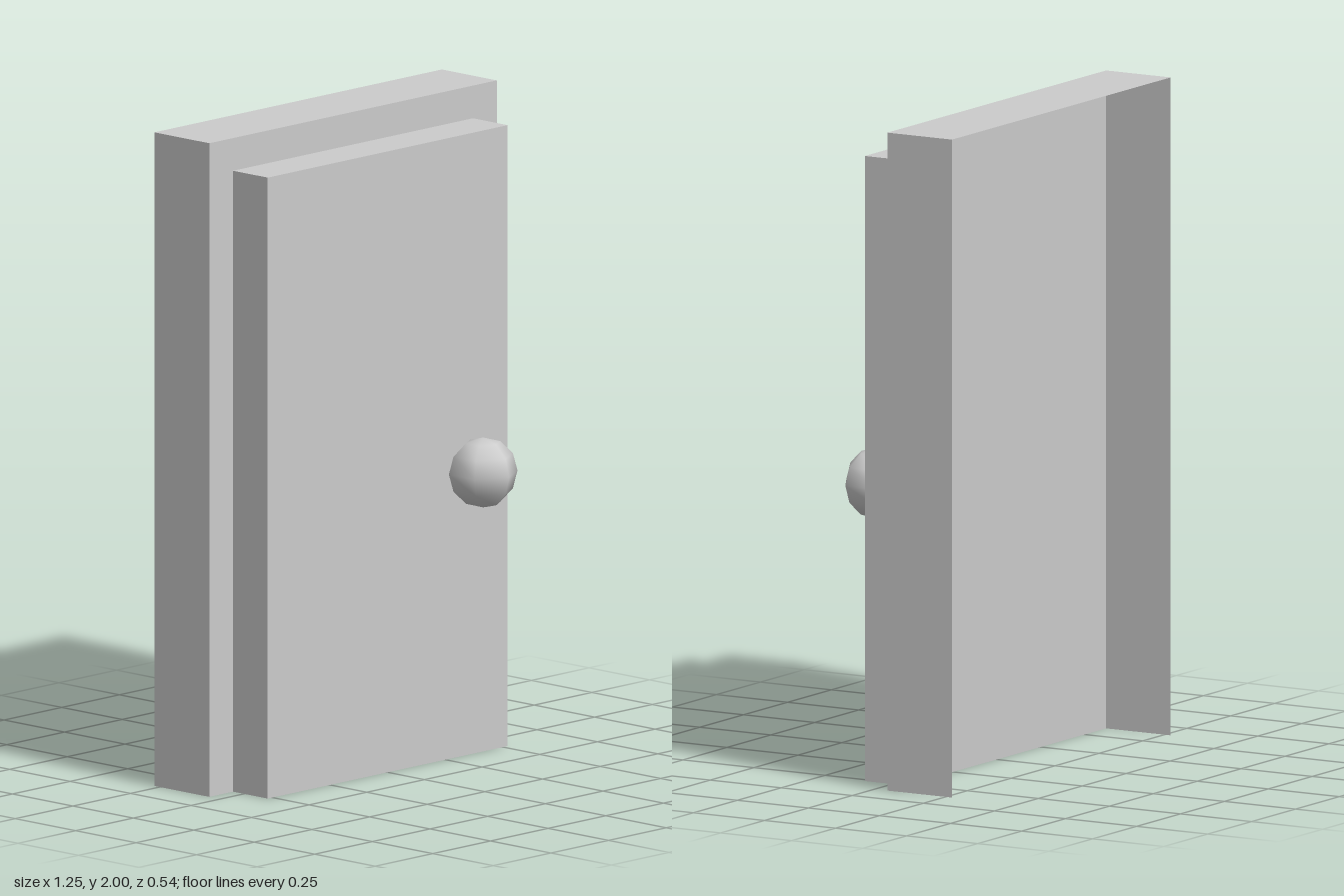
import * as THREE from 'three';

// Thin box shell standing on the ground, open at the bottom and the back
function openShell(name, width, height, zBack, zFront, material) {
  const geometry = new THREE.BoxGeometry(width, height, zFront - zBack);
  const index = Array.from(geometry.index.array);
  // faces come in the order +x, -x, +y, -y, +z, -z, six indices each
  geometry.setIndex([...index.slice(0, 18), ...index.slice(24, 30)]);
  geometry.clearGroups();
  const mesh = new THREE.Mesh(geometry, material);
  mesh.name = name;
  mesh.position.set(0, height / 2, (zBack + zFront) / 2);
  return mesh;
}

export function createModel() {
  const group = new THREE.Group();
  group.name = 'door';
  const shellMaterial = new THREE.MeshStandardMaterial({ color: 0xcccccc, side: THREE.DoubleSide });
  const knobMaterial = new THREE.MeshStandardMaterial({ color: 0xcccccc });

  // Frame with its full front face, and the door leaf in front of it
  group.add(openShell('frame', 1.246, 2, -0.272, -0.045, shellMaterial));
  group.add(openShell('doorLeaf', 1.04, 1.9, -0.045, 0.098, shellMaterial));

  // Six-sided smooth knob with one corner pointing forward
  const knob = new THREE.Mesh(new THREE.SphereGeometry(0.107, 6, 6).rotateY(Math.PI / 6), knobMaterial);
  knob.name = 'knob';
  knob.position.set(0.345, 0.874, 0.164);
  group.add(knob);

  return group;
}
